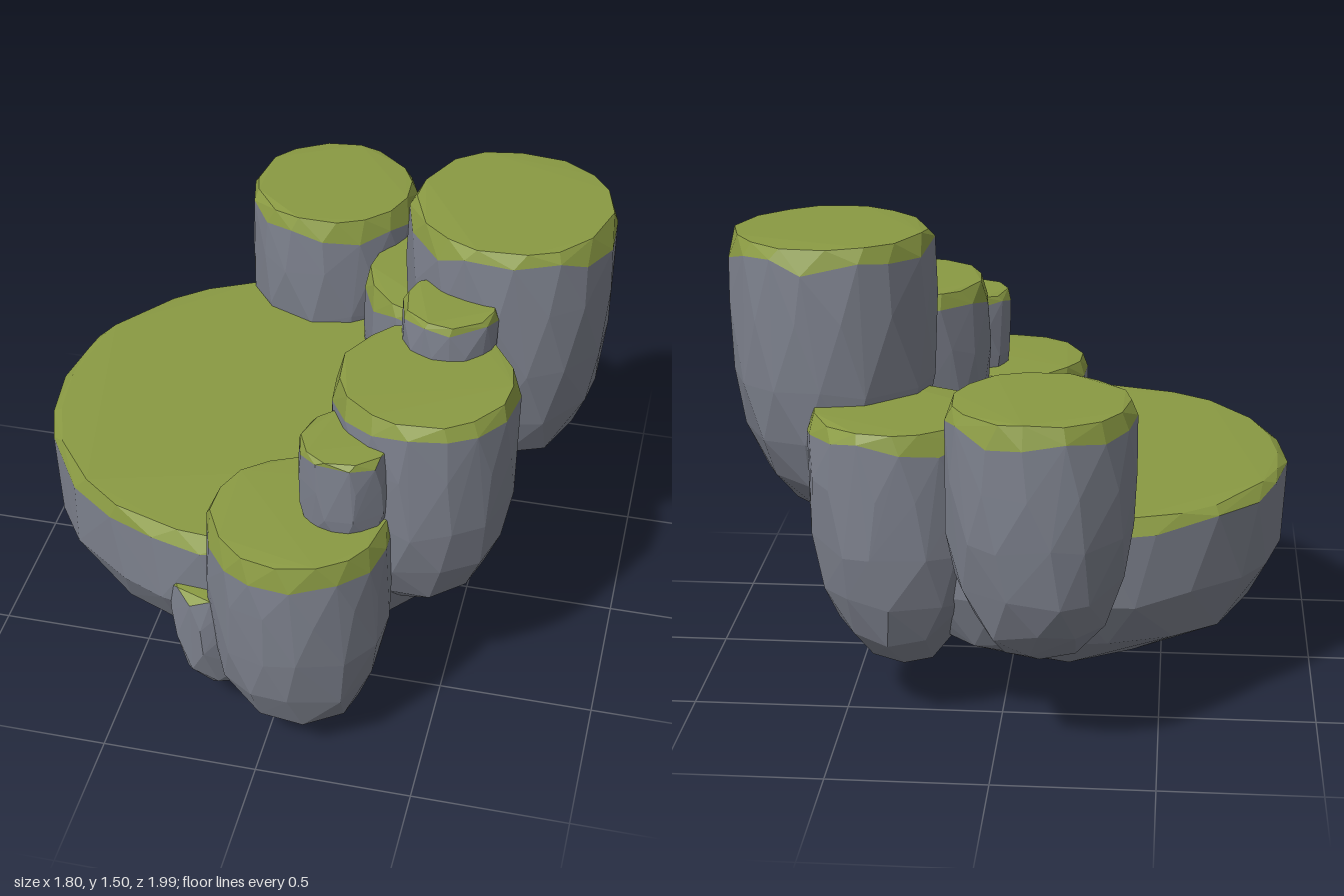
import * as THREE from 'three';
import { ConvexGeometry } from 'three/addons/geometries/ConvexGeometry.js';

const stone = new THREE.MeshStandardMaterial({ color: 0x7d818d });
stone.name = 'stoneGrey';
const moss = new THREE.MeshStandardMaterial({ color: 0x8a9a43 });
moss.name = 'mossGreen';

// Small seeded generator for the rough facets
function seeded(seed) {
  let s = seed * 7919 + 17;
  return () => {
    s = (s * 16807) % 2147483647;
    return s / 2147483647;
  };
}

// Rings from the bottom up: [height fraction, radius fraction, share of sides]
const columnRings = [
  [0.05, 0.40, 0.45], [0.16, 0.70, 0.6], [0.32, 0.89, 0.75],
  [0.52, 0.98, 0.85], [0.75, 1.0, 0.85],
];
const slabRings = [
  [0.03, 0.40, 0.4], [0.10, 0.62, 0.6], [0.28, 0.87, 0.8], [0.55, 0.985, 0.9],
];

// A faceted rock: convex hull of jittered rings, with a moss cap on top
function makeRock({ name, x, z, r, bottom, top, sides, rings, drop, tip = [0, 0] }, seed) {
  const rand = seeded(seed);
  const jit = (a) => (rand() * 2 - 1) * a;
  const h = top - bottom;
  const points = [new THREE.Vector3(tip[0], bottom, tip[1])];
  const addRing = (count, radius, height, wobble, radial) => {
    const start = rand() * Math.PI * 2;
    for (let i = 0; i < count; i++) {
      const a = start + ((i + jit(0.2)) / count) * Math.PI * 2;
      const q = radius * (1 + jit(radial));
      points.push(new THREE.Vector3(Math.cos(a) * q, height() + jit(wobble), Math.sin(a) * q));
    }
  };
  for (const [t, f, share] of rings) {
    addRing(Math.round(sides * share), r * f * 1.01, () => bottom + h * t, h * 0.025, 0.012);
  }
  // Ragged shoulder and rim
  addRing(sides, r, () => top - drop * (0.35 + 0.6 * rand()), 0, 0.006);
  addRing(sides, r * (drop < r * 0.15 ? 0.965 : 0.93), () => top - 0.004, 0.004, 0.015);

  // Sort the faces into moss and stone
  const pos = new ConvexGeometry(points).getAttribute('position');
  const parts = { moss: [], stone: [] };
  for (let i = 0; i < pos.count; i += 3) {
    const low = Math.min(pos.getY(i), pos.getY(i + 1), pos.getY(i + 2));
    const list = low > top - drop ? parts.moss : parts.stone;
    for (let k = i; k < i + 3; k++) list.push(pos.getX(k), pos.getY(k), pos.getZ(k));
  }
  const group = new THREE.Group();
  group.name = name;
  group.position.set(x, 0, z);
  for (const [key, mat] of [['stone', stone], ['moss', moss]]) {
    const geo = new THREE.BufferGeometry();
    geo.setAttribute('position', new THREE.Float32BufferAttribute(parts[key], 3));
    geo.computeVertexNormals();
    const mesh = new THREE.Mesh(geo, mat);
    mesh.name = name + (key === 'moss' ? 'MossCap' : 'Stone');
    group.add(mesh);
  }
  return group;
}

export function createModel() {
  const model = new THREE.Group();
  model.name = 'mossyRocks';
  const column = { sides: 15, rings: columnRings, drop: 0.09 };
  const small = { sides: 10, rings: columnRings, drop: 0.045 };
  const rocks = [
    // Broad slab
    { name: 'baseSlab', x: -0.16, z: 0.04, r: 0.742, bottom: 0.1, top: 0.725, sides: 24, rings: slabRings, drop: 0.06 },
    // Large columns around one side
    { ...column, name: 'frontColumn', x: 0.075, z: 0.705, r: 0.287, bottom: 0, top: 0.84, tip: [0.02, -0.01] },
    { ...column, name: 'middleColumn', x: 0.405, z: 0.41, r: 0.287, bottom: 0.35, top: 1.2, tip: [0.01, 0.03] },
    { ...column, name: 'tallColumn', x: 0.57, z: -0.138, r: 0.328, bottom: 0.54, top: 1.5, tip: [0.02, 0.03] },
    { ...column, name: 'innerBackColumn', x: 0.325, z: -0.445, r: 0.287, bottom: 0.16, top: 1.0 },
    { ...column, name: 'backColumn', x: -0.133, z: -0.713, r: 0.287, bottom: 0.3, top: 1.13, tip: [0, -0.03] },
    // Small stones between the columns
    { ...small, name: 'upperSmallStone', x: 0.433, z: 0.185, r: 0.152, bottom: 0.86, top: 1.32 },
    { ...small, name: 'lowerSmallStone', x: 0.207, z: 0.64, r: 0.147, bottom: 0.65, top: 1.1 },
    { ...small, name: 'frontSmallStone', x: -0.195, z: 0.695, r: 0.147, bottom: 0.08, top: 0.53, sides: 8 },
  ];
  rocks.forEach((rock, i) => model.add(makeRock(rock, i + 1)));
  return model;
}
